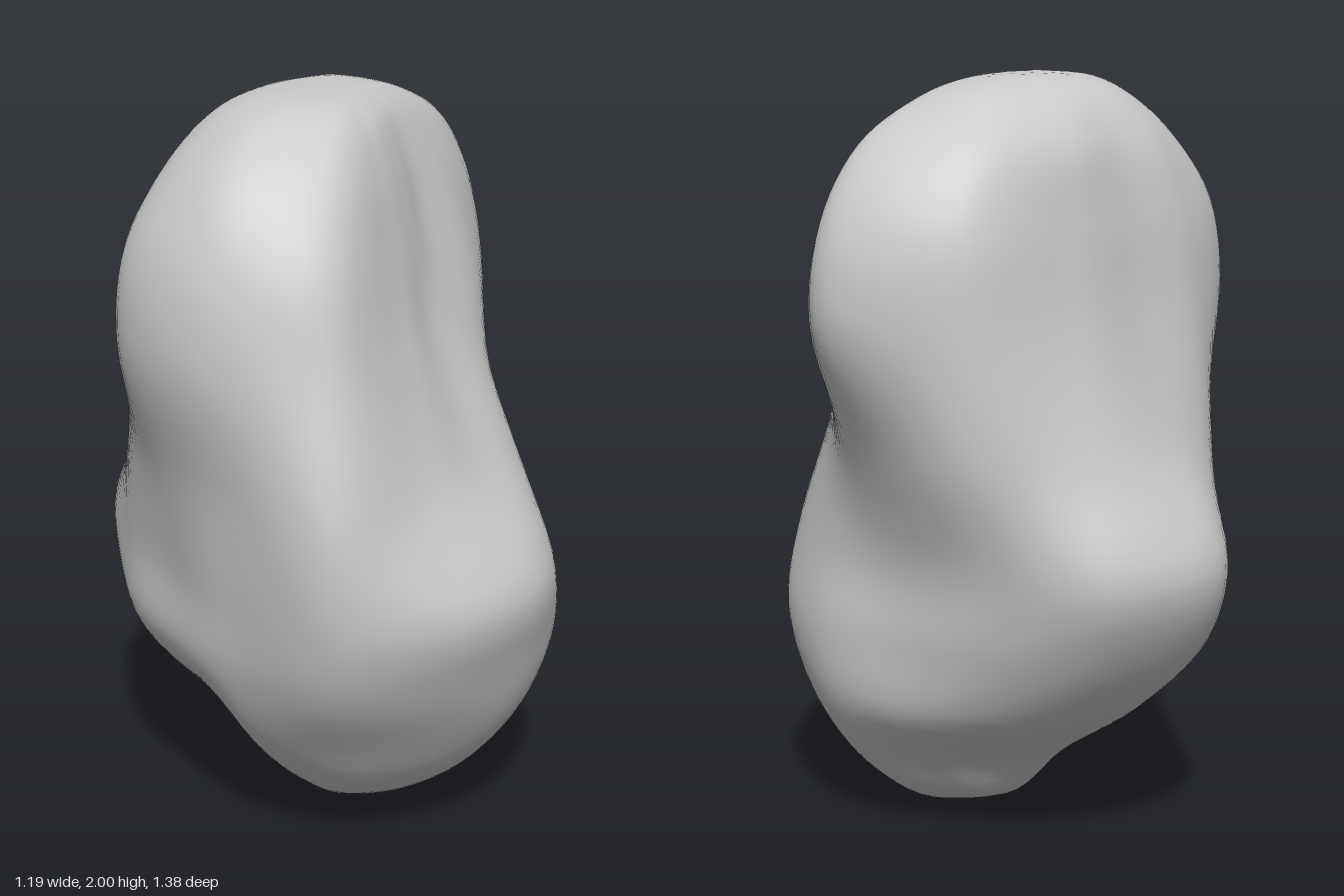
import * as THREE from 'three';
import { mergeVertices } from 'three/addons/utils/BufferGeometryUtils.js';

// Cross-sections from bottom to top: height, then radii every 30 degrees,
// starting 15 degrees from +x towards +z
const SECTIONS = [
  [0.05, [.25, .22, .17, .13, .07, .04, .04, .05, .07, .09, .15, .26]],
  [0.18, [.42, .41, .37, .34, .27, .16, .15, .19, .20, .22, .30, .42]],
  [0.35, [.55, .54, .50, .48, .43, .34, .38, .44, .45, .44, .47, .52]],
  [0.55, [.61, .61, .61, .62, .52, .49, .55, .63, .62, .53, .50, .55]],
  [0.77, [.58, .64, .67, .69, .55, .50, .56, .70, .71, .57, .50, .52]],
  [1.06, [.48, .45, .53, .70, .58, .54, .55, .56, .62, .66, .58, .49]],
  [1.40, [.33, .30, .39, .61, .64, .62, .51, .45, .53, .68, .73, .47]],
  [1.65, [.24, .24, .31, .54, .61, .59, .47, .41, .48, .66, .70, .39]],
  [1.83, [.19, .19, .25, .43, .52, .47, .40, .36, .43, .57, .57, .29]],
  [1.94, [.14, .14, .18, .30, .38, .34, .30, .28, .31, .40, .35, .19]],
  [1.985, [.07, .07, .09, .17, .25, .24, .20, .19, .20, .23, .16, .09]],
];
const BOTTOM = new THREE.Vector3(0.1, 0, 0.03);
const TOP = new THREE.Vector3(-0.08, 2, 0.02);

// Smooth closed skin: a spline up each column, then a closed spline around each ring
function skin(sections, bottom, top, rows, around) {
  const sides = sections[0][1].length;
  const columns = [];
  for (let k = 0; k < sides; k++) {
    const angle = ((k + 0.5) / sides) * Math.PI * 2;
    const points = sections.map(([y, radii]) =>
      new THREE.Vector3(radii[k] * Math.cos(angle), y, radii[k] * Math.sin(angle)));
    columns.push(new THREE.CatmullRomCurve3([bottom, ...points, top]));
  }

  const positions = [];
  const index = [];
  for (let j = 0; j <= rows; j++) {
    const ring = new THREE.CatmullRomCurve3(columns.map((c) => c.getPoint(j / rows)), true);
    const pole = j === 0 ? bottom : j === rows ? top : null;
    for (let i = 0; i < around; i++) {
      const p = pole ?? ring.getPoint(i / around);
      positions.push(p.x, p.y, p.z);
      if (j === rows) continue;
      const a = j * around + i;
      const b = j * around + ((i + 1) % around);
      if (j < rows - 1) index.push(a, a + around, b + around);
      if (j > 0) index.push(a, b + around, b);
    }
  }
  const geometry = new THREE.BufferGeometry();
  geometry.setAttribute('position', new THREE.Float32BufferAttribute(positions, 3));
  geometry.setIndex(index);
  const welded = mergeVertices(geometry, 1e-5);
  welded.computeVertexNormals();
  return welded;
}

export function createModel() {
  const group = new THREE.Group();
  group.name = 'rock';
  const material = new THREE.MeshStandardMaterial({ color: 0xcccccc });
  const boulder = new THREE.Mesh(skin(SECTIONS, BOTTOM, TOP, 72, 96), material);
  boulder.name = 'boulder';
  group.add(boulder);
  return group;
}
